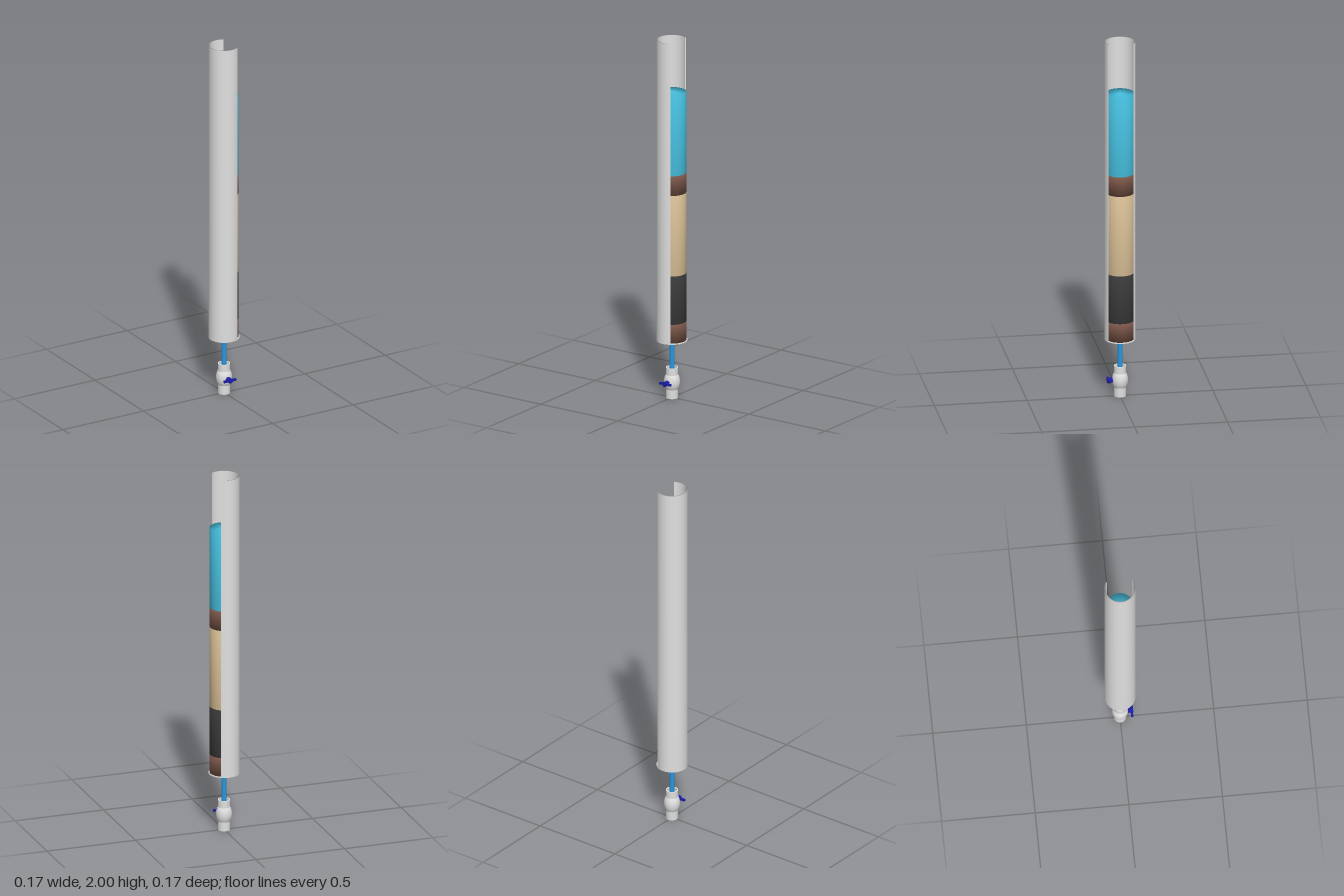
import * as THREE from 'three';

const material = (name, color, side = THREE.FrontSide) => {
  const m = new THREE.MeshStandardMaterial({ color, side });
  m.name = name;
  return m;
};

export function createModel() {
  const group = new THREE.Group();
  const mats = {
    shell: material('light grey plastic', 0xe0e0e0, THREE.DoubleSide),
    brown: material('brown gravel', 0x795548),
    charcoal: material('charcoal', 0x3a3a3a),
    sand: material('sand', 0xdcc298),
    water: material('water blue', 0x48c4e4),
    pipe: material('pipe blue', 0x2a96dc),
    handle: material('handle blue', 0x1c1ca8),
  };

  const add = (name, geometry, mat, parent = group) => {
    const mesh = new THREE.Mesh(geometry, mat);
    mesh.name = name;
    parent.add(mesh);
    return mesh;
  };
  const lathe = (pts, segments = 64, start = 0, length = Math.PI * 2) =>
    new THREE.LatheGeometry(pts.map(([r, y]) => new THREE.Vector2(r, y)), segments, start, length);

  // Tall tube with a 120 degree window open towards +x
  const R = 0.083, Ri = 0.077, bottom = 0.32, top = 2, floor = 0.325;
  const start = Math.PI * 5 / 6, sweep = Math.PI * 4 / 3;
  add('tubeWall', lathe([[R, bottom], [R, top], [Ri, top], [Ri, floor]], 64, start, sweep), mats.shell);
  add('tubeBase', new THREE.CylinderGeometry(R, R, floor - bottom, 64)
    .translate(0, (floor + bottom) / 2, 0), mats.shell);

  // Cut edges of the window
  for (const side of [-1, 1]) {
    const edge = new THREE.PlaneGeometry(R - Ri, top - bottom)
      .translate((R + Ri) / 2, (top + bottom) / 2, 0)
      .rotateY(side * Math.PI / 3);
    add(side > 0 ? 'backWindowEdge' : 'frontWindowEdge', edge, mats.shell);
  }

  // Stacked filter layers, softly shaded over their rims
  const layers = [
    ['lowerGravel', floor, 0.43, mats.brown],
    ['charcoalLayer', 0.43, 0.70, mats.charcoal],
    ['sandLayer', 0.70, 1.15, mats.sand],
    ['upperGravel', 1.15, 1.26, mats.brown],
    ['waterLayer', 1.26, 1.71, mats.water],
  ];
  for (const [name, y0, y1, mat] of layers) {
    const r = 0.0765;
    add(name, lathe([[0, y0], [r, y0], [r, y1], [0, y1]]), mat);
  }

  // Outlet pipe
  add('outletPipe', new THREE.CylinderGeometry(0.013, 0.013, 0.2, 32).translate(0, 0.22, 0), mats.pipe);

  // Ball valve: hollow sleeve, round body and turning handle
  const valve = new THREE.Group();
  valve.name = 'valve';
  group.add(valve);
  const ro = 0.033, ri = 0.026, h = 0.17;
  add('valveOuterSleeve', new THREE.CylinderGeometry(ro, ro, h, 40, 1, true).translate(0, h / 2, 0), mats.shell, valve);
  add('valveInnerSleeve', new THREE.CylinderGeometry(ri, ri, h, 40, 1, true).translate(0, h / 2, 0), mats.shell, valve);
  for (const y of [0, h]) {
    add(y ? 'valveTopRim' : 'valveBottomRim', new THREE.RingGeometry(ri, ro, 40)
      .rotateX(y ? -Math.PI / 2 : Math.PI / 2).translate(0, y, 0), mats.shell, valve);
  }
  add('valveStop', new THREE.CylinderGeometry(ri, ri, 0.07, 40).translate(0, 0.09, 0), mats.shell, valve);
  const body = [];
  for (let i = 0; i <= 16; i++) {
    const a = (i / 16 - 0.5) * 2 * Math.acos(ro / 0.043);
    body.push([0.043 * Math.cos(a), 0.09 + 0.04 * Math.sin(a) / Math.sin(Math.acos(ro / 0.043))]);
  }
  add('valveBody', lathe(body, 40), mats.shell, valve);

  add('handleStem', new THREE.CylinderGeometry(0.014, 0.014, 0.032, 24)
    .rotateX(Math.PI / 2).translate(0, 0.09, 0.054), mats.handle, valve);
  add('handleBar', new THREE.BoxGeometry(0.076, 0.011, 0.012).translate(0, 0.09, 0.062), mats.handle, valve);

  return group;
}
